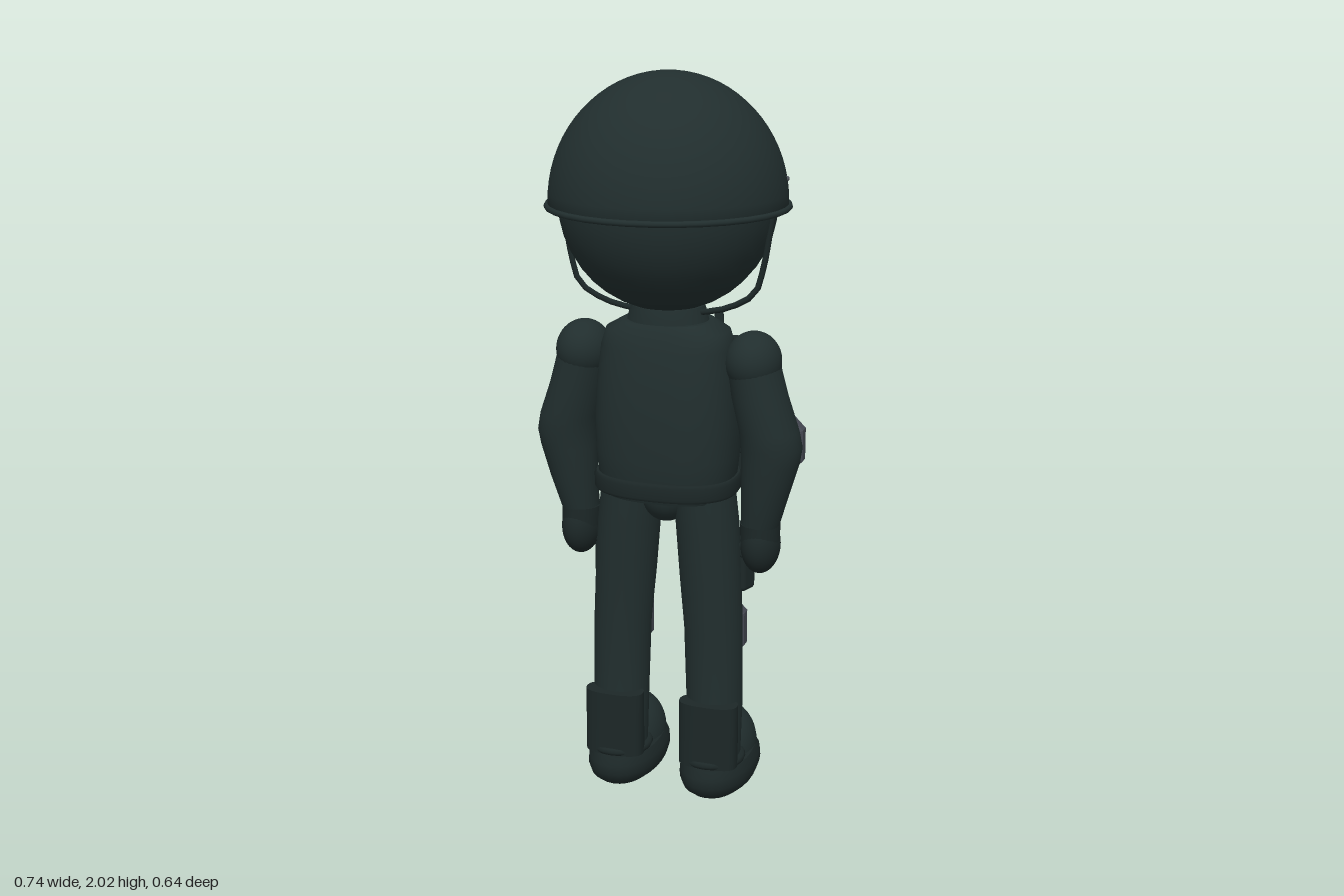
import * as THREE from 'three';
import { RoundedBoxGeometry } from 'three/addons/geometries/RoundedBoxGeometry.js';

const material = (name, color) => Object.assign(new THREE.MeshStandardMaterial({ color }), { name });

// Stack of rounded cross-sections, bottom to top: [y, cx, cz, rx, rz]; power > 2 squares them off
function loft(rings, power = 2, seg = 28) {
  const pos = [], idx = [];
  const addRing = ([y, cx, cz, rx, rz]) => {
    const start = pos.length / 3;
    for (let i = 0; i < seg; i++) {
      const a = (i / seg) * Math.PI * 2, c = Math.cos(a), s = Math.sin(a);
      pos.push(cx + Math.sign(c) * Math.abs(c) ** (2 / power) * rx, y,
        cz + Math.sign(s) * Math.abs(s) ** (2 / power) * rz);
    }
    return start;
  };
  const starts = rings.map(addRing);
  for (let j = 0; j < rings.length - 1; j++) {
    for (let i = 0; i < seg; i++) {
      const k = (i + 1) % seg, a = starts[j], b = starts[j + 1];
      idx.push(a + i, b + i, a + k, a + k, b + i, b + k);
    }
  }
  // flat end caps
  [[rings[0], false], [rings[rings.length - 1], true]].forEach(([r, top]) => {
    const s = addRing(r), centre = pos.length / 3;
    pos.push(r[1], r[0], r[2]);
    for (let i = 0; i < seg; i++) {
      const k = (i + 1) % seg;
      top ? idx.push(centre, s + k, s + i) : idx.push(centre, s + i, s + k);
    }
  });
  const g = new THREE.BufferGeometry();
  g.setAttribute('position', new THREE.Float32BufferAttribute(pos, 3));
  g.setIndex(idx);
  g.computeVertexNormals();
  return g;
}

// Plate with clipped corners and bevelled edges
function padGeometry(w, h, depth) {
  const x = w / 2, y = h / 2, c = 0.032, b = 0.01;
  const outline = [[-x + c, -y], [x - c, -y], [x, -y + c], [x, y - c], [x - c, y], [-x + c, y], [-x, y - c], [-x, -y + c]];
  const shape = new THREE.Shape(outline.map(([u, v]) => new THREE.Vector2(u, v)));
  const g = new THREE.ExtrudeGeometry(shape, {
    depth: depth - 2 * b, bevelEnabled: true, bevelSize: b, bevelOffset: -b, bevelThickness: b, bevelSegments: 1,
  });
  return g.center();
}

export function createModel() {
  const model = new THREE.Group();
  model.name = 'helmetedFigure';
  const uniform = material('darkGreenUniform', 0x212e2e);
  const gear = material('darkGear', 0x1c2727);
  const padGrey = material('padGrey', 0x454852);
  const metal = material('metalGrey', 0x50545a);

  const add = (name, geometry, mat, p = [0, 0, 0], rot = [0, 0, 0]) => {
    const m = new THREE.Mesh(geometry, mat);
    m.name = name;
    m.position.set(...p);
    m.rotation.set(...rot);
    model.add(m);
    return m;
  };
  const box = (name, size, p, mat, r = 0.01, rot) =>
    add(name, new RoundedBoxGeometry(...size, 2, r), mat, p, rot);
  const ball = (name, radii, p, mat) =>
    add(name, new THREE.SphereGeometry(1, 32, 20), mat, p).scale.set(...radii);
  const tube = (name, points, radius, mat) => add(name, new THREE.TubeGeometry(
    new THREE.CatmullRomCurve3(points.map((q) => new THREE.Vector3(...q))), 24, radius, 8), mat);

  // Head and helmet
  ball('head', [0.285, 0.285, 0.285], [0, 1.67, 0], uniform);
  const dome = [[0.3, 1.65], [0.312, 1.665]];
  for (let i = 1; i <= 18; i++) {
    const a = (i / 18) * Math.PI / 2;
    dome.push([0.312 * Math.cos(a), 1.665 + 0.335 * Math.sin(a)]);
  }
  add('helmetDome', new THREE.LatheGeometry(dome.map((q) => new THREE.Vector2(Math.max(q[0], 0), q[1])), 40), uniform);
  add('helmetUnderside', new THREE.RingGeometry(0.27, 0.312, 40), gear, [0, 1.655, 0], [Math.PI / 2, 0, 0]);
  add('helmetRim', new THREE.TorusGeometry(0.314, 0.008, 8, 32), uniform, [0, 1.66, 0], [Math.PI / 2, 0, 0]);
  tube('chinStrap', [[-0.285, 1.65, 0.02], [-0.262, 1.51, 0.02], [-0.24, 1.445, 0.02], [-0.175, 1.405, 0.02],
    [-0.1, 1.387, 0.02], [0, 1.38, 0.02], [0.1, 1.387, 0.02], [0.175, 1.405, 0.02], [0.24, 1.445, 0.02],
    [0.262, 1.51, 0.02], [0.285, 1.65, 0.02]], 0.008, gear);

  // Torso, collar, belt and hips
  add('torso', loft([[0.88, 0, 0, 0.165, 0.12], [0.92, 0, 0, 0.185, 0.135], [1.0, 0, 0, 0.193, 0.143],
    [1.1, 0, 0, 0.195, 0.144], [1.2, 0, 0, 0.188, 0.14], [1.29, 0, 0, 0.178, 0.126],
    [1.335, 0, 0, 0.165, 0.114], [1.36, 0, 0, 0.12, 0.1]], 2.5, 40), uniform);
  add('collar', loft([[1.34, 0, 0, 0.115, 0.1], [1.375, 0, 0, 0.105, 0.098], [1.4, 0, 0, 0.098, 0.092]]), uniform);
  add('belt', loft([[0.895, 0, 0, 0.193, 0.146], [0.903, 0, 0, 0.198, 0.151], [0.935, 0, 0, 0.198, 0.151],
    [0.943, 0, 0, 0.193, 0.146]], 2.5, 40), gear);
  ball('hips', [0.075, 0.09, 0.095], [0, 0.89, 0], uniform);
  box('beltBuckle', [0.065, 0.05, 0.02], [0, 0.92, -0.156], metal, 0.006);
  box('zip', [0.008, 0.3, 0.012], [0, 1.13, -0.141], metal, 0.003);

  for (const s of [1, -1]) {
    const side = s > 0 ? 'left' : 'right';
    const n = (part) => side + part;

    // Helmet rivet
    ball(n('HelmetRivet'), [0.007, 0.007, 0.007], [s * 0.296, 1.73, -0.07], metal);

    // Arm, shoulder cap, glove and elbow pad
    ball(n('Shoulder'), [0.074, 0.08, 0.086], [s * 0.236, 1.262, 0.005], uniform);
    add(n('Arm'), loft([[0.8, s * 0.256, -0.01, 0.05, 0.055], [0.9, s * 0.272, 0, 0.064, 0.066],
      [0.99, s * 0.285, 0, 0.078, 0.076], [1.035, s * 0.288, 0.003, 0.082, 0.08],
      [1.08, s * 0.281, 0.005, 0.08, 0.081], [1.17, s * 0.255, 0.005, 0.075, 0.082],
      [1.25, s * 0.238, 0.005, 0.07, 0.08]]), uniform);
    add(n('GloveCuff'), loft([[0.76, s * 0.257, -0.013, 0.053, 0.062], [0.815, s * 0.256, -0.012, 0.054, 0.06]]), gear);
    ball(n('Hand'), [0.053, 0.08, 0.07], [s * 0.258, 0.752, -0.014], gear);
    add(n('ElbowPad'), padGeometry(0.135, 0.15, 0.05), padGrey, [s * 0.293, 1.028, -0.06]);

    // Leg with knee pad and calf guard
    add(n('Leg'), loft([[0.09, s * 0.137, 0.015, 0.076, 0.075], [0.3, s * 0.137, 0.004, 0.079, 0.073],
      [0.5, s * 0.132, 0.003, 0.081, 0.076], [0.65, s * 0.122, 0, 0.085, 0.084],
      [0.8, s * 0.112, -0.002, 0.086, 0.093], [0.9, s * 0.102, -0.002, 0.084, 0.094]]), uniform);
    add(n('KneePad'), padGeometry(0.135, 0.16, 0.05), padGrey, [s * 0.137, 0.48, -0.066]);
    add(n('CalfGuard'), loft([[0.115, s * 0.137, 0.06, 0.083, 0.042], [0.3, s * 0.137, 0.06, 0.083, 0.04]], 2.6), gear);
    add(n('AnkleBand'), new THREE.TorusGeometry(0.08, 0.012, 8, 28), gear, [s * 0.137, 0.125, 0.018], [Math.PI / 2, 0, 0]);

    // Boot: rounded sole, toe and laces
    add(n('Sole'), loft([[0.008, s * 0.137, -0.06, 0.05, 0.1], [0.018, s * 0.137, -0.06, 0.078, 0.145],
      [0.035, s * 0.137, -0.06, 0.097, 0.167], [0.06, s * 0.137, -0.06, 0.105, 0.177],
      [0.085, s * 0.137, -0.06, 0.103, 0.174], [0.108, s * 0.137, -0.06, 0.092, 0.16]], 2.2), gear);
    ball(n('Boot'), [0.09, 0.118, 0.125], [s * 0.137, 0.1, -0.098], uniform);
    for (let i = 0; i < 3; i++) {
      const z = -0.075 - i * 0.027, y = 0.222 - i * 0.003;
      tube(n('Lace'), [[s * 0.137 - 0.045, y - 0.015, z], [s * 0.137, y + 0.004, z - 0.008],
        [s * 0.137 + 0.045, y - 0.015, z]], 0.005, gear);
    }

    // Chest pouch with flap, strap and cord
    box(n('ChestPouch'), [0.115, 0.11, 0.065], [s * 0.1, 1.215, -0.148], gear, 0.015);
    box(n('ChestPouchFlap'), [0.122, 0.045, 0.075], [s * 0.1, 1.262, -0.149], gear, 0.012);
    box(n('ChestStrap'), [0.024, 0.14, 0.014], [s * 0.1, 1.29, -0.142], uniform, 0.005, [0.15, 0, 0]);
    ball(n('PouchButton'), [0.009, 0.009, 0.006], [s * 0.1, 1.255, -0.187], metal);
    tube(n('ChestCord'), [[s * 0.1, 1.28, -0.184], [s * 0.105, 1.15, -0.186], [s * 0.115, 1.06, -0.172],
      [s * 0.125, 0.99, -0.155]], 0.005, gear);

    // Belt pouch
    box(n('BeltPouch'), [0.095, 0.12, 0.075], [s * 0.13, 0.942, -0.152], gear, 0.014);
    box(n('BeltPouchFlap'), [0.1, 0.035, 0.08], [s * 0.13, 0.985, -0.152], gear, 0.01);

    // Thigh pocket
    box(n('ThighPocket'), [0.1, 0.13, 0.06], [s * 0.178, 0.672, -0.048], gear, 0.014, [0, s * -0.35, 0]);
    box(n('ThighPocketFlap'), [0.106, 0.045, 0.068], [s * 0.178, 0.728, -0.05], gear, 0.012, [0, s * -0.35, 0]);
  }
  return model;
}
